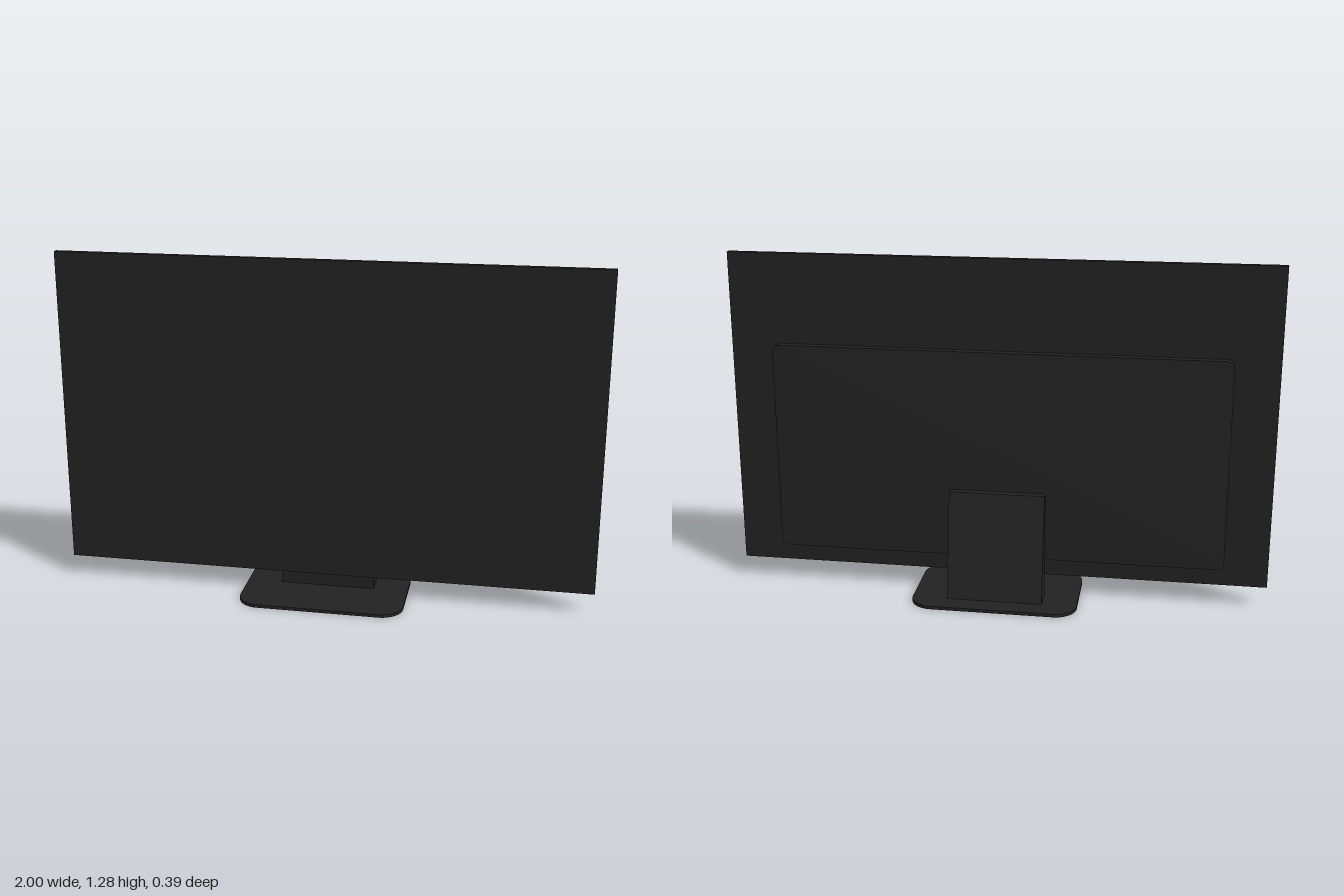
import * as THREE from 'three';

// Rounded rectangle centred on the origin
function roundedRect(w, h, r) {
  const x = w / 2, y = h / 2, s = new THREE.Shape();
  s.moveTo(-x + r, -y);
  s.lineTo(x - r, -y);
  s.absarc(x - r, -y + r, r, -Math.PI / 2, 0);
  s.lineTo(x, y - r);
  s.absarc(x - r, y - r, r, 0, Math.PI / 2);
  s.lineTo(-x + r, y);
  s.absarc(-x + r, y - r, r, Math.PI / 2, Math.PI);
  s.lineTo(-x, -y + r);
  s.absarc(-x + r, -y + r, r, Math.PI, Math.PI * 1.5);
  return s;
}

const extrude = (shape, depth) =>
  new THREE.ExtrudeGeometry(shape, { depth, bevelEnabled: false, curveSegments: 10 });

export function createModel() {
  const group = new THREE.Group();
  const plastic = new THREE.MeshStandardMaterial({ color: 0x222223 });
  plastic.name = 'black plastic';

  function add(name, geometry) {
    const mesh = new THREE.Mesh(geometry, plastic);
    mesh.name = name;
    group.add(mesh);
  }

  // Thin display panel
  add('screenPanel', new THREE.BoxGeometry(2, 1.195, 0.024).translate(0, 0.678, 0.017));

  // Raised housing on the back, with rounded corners
  add('backHousing', extrude(roundedRect(1.676, 0.788, 0.028), 0.033).translate(0, 0.547, -0.027));

  // Wedge-shaped neck, drawn in side profile (backwards, up)
  const profile = new THREE.Shape([
    [0.021, 0.01], [0.12, 0.01], [0.053, 0.414], [0.021, 0.414],
  ].map(([b, y]) => new THREE.Vector2(b, y)));
  add('standNeck', extrude(profile, 0.356).rotateY(Math.PI / 2).translate(-0.178, 0, 0));

  // Flat rounded foot
  add('standBase', extrude(roundedRect(0.618, 0.39, 0.082), 0.012).rotateX(-Math.PI / 2));

  return group;
}
